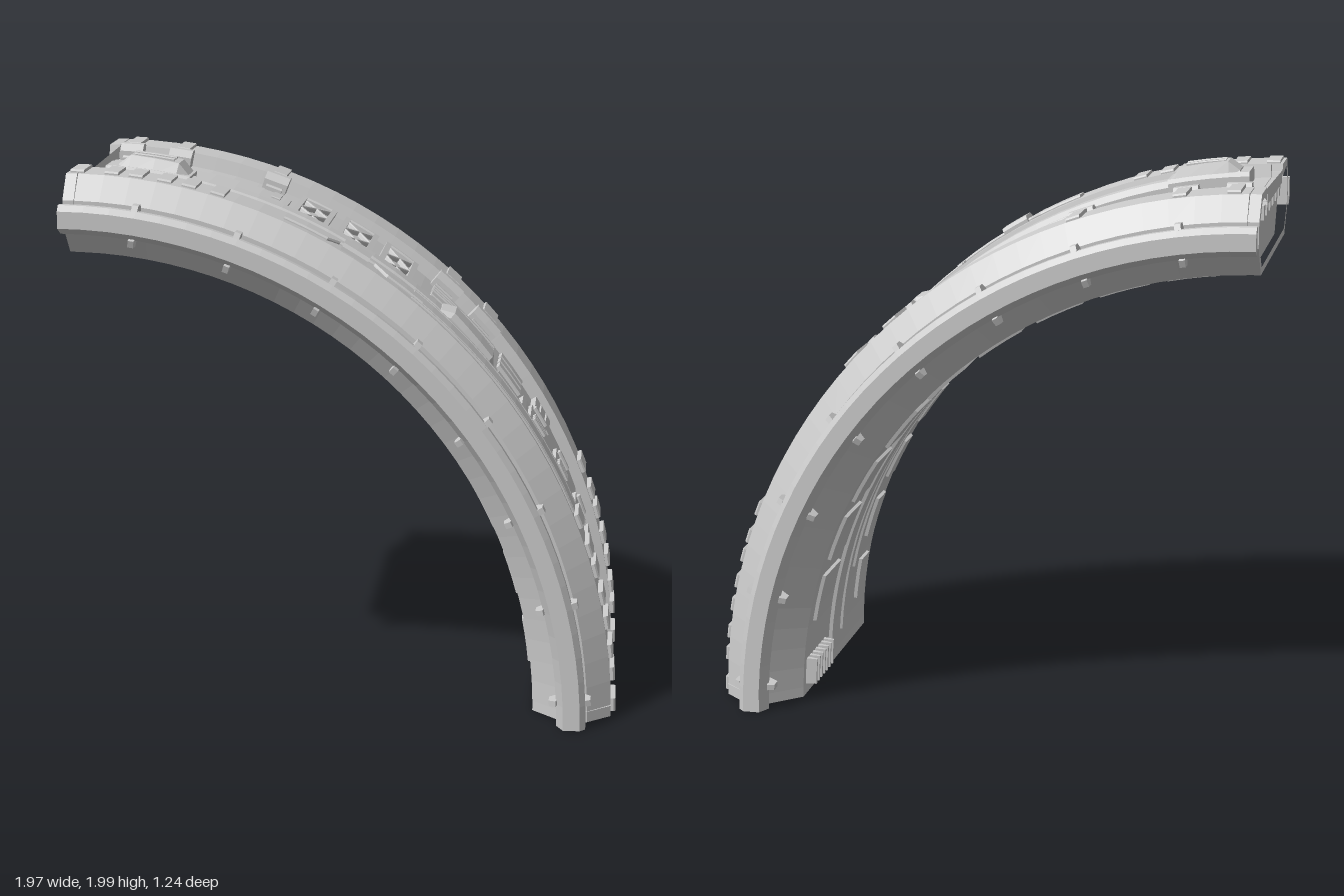
import * as THREE from 'three';

const CX = -0.985, H = Math.PI / 2, STEP = H / 32;
const mat = new THREE.MeshStandardMaterial({ color: 0xcccccc, flatShading: true });

// angle on the arch (0 at the foot, H at the top end) for a given height or x position
const aY = y => Math.asin(y / 1.93);
const aX = x => Math.acos(Math.min(1, Math.max(0, (x - CX) / 1.93)));

// loft of [angle, profile] stations; each profile is a list of [radius, z]
function loft(stations) {
  const rings = [];
  stations.forEach(([a, p], i) => {
    if (i) {
      const [b, q] = stations[i - 1], n = Math.max(1, Math.ceil((a - b) / STEP - 1e-6));
      for (let k = 1; k <= n; k++) {
        const t = k / n;
        rings.push([b + (a - b) * t, p.map((c, j) => [0, 1].map(m => q[j][m] + (c[m] - q[j][m]) * t))]);
      }
    } else rings.push([a, p]);
  });
  const contour = p => p.map(c => new THREE.Vector2(c[0], c[1]));
  if (THREE.ShapeUtils.isClockWise(contour(rings[0][1]))) rings.forEach(r => { r[1] = [...r[1]].reverse(); });
  const n = rings[0][1].length, pos = [], idx = [];
  for (const [a, p] of rings) for (const [r, z] of p) pos.push(r * Math.cos(a), r * Math.sin(a), z);
  for (let k = 0; k + 1 < rings.length; k++) for (let i = 0; i < n; i++) {
    const j = (i + 1) % n, o = k * n, u = o + n;
    idx.push(o + i, u + i, u + j, o + i, u + j, o + j);
  }
  const last = (rings.length - 1) * n;
  for (const [a, b, c] of THREE.ShapeUtils.triangulateShape(contour(rings[0][1]), [])) {
    idx.push(a, b, c, last + a, last + c, last + b);
  }
  const g = new THREE.BufferGeometry();
  g.setAttribute('position', new THREE.Float32BufferAttribute(pos, 3));
  g.setIndex(idx);
  const flat = g.toNonIndexed();
  flat.computeVertexNormals();
  return flat;
}

export function createModel() {
  const root = new THREE.Group();
  root.name = 'archSegment';
  const arch = new THREE.Group();
  arch.name = 'arch';
  arch.position.x = CX;
  root.add(arch);

  const add = (name, geo) => {
    const m = new THREE.Mesh(geo, mat);
    m.name = name;
    arch.add(m);
    return m;
  };
  const sweep = (name, profile, a0 = 0, a1 = H) => add(name, loft([[a0, profile], [a1, profile]]));
  // plate with chamfered sides from [angle, z0, z1] stations
  const strip = (name, r0, r1, stations, c = 0.006) => add(name, loft([...stations]
    .sort((s, t) => s[0] - t[0])
    .map(([a, z0, z1]) => [a, [[r0, z0], [r1 - c, z0], [r1, z0 + c], [r1, z1 - c], [r1 - c, z1], [r0, z1]]])));
  const plateY = (name, r0, r1, y0, y1, z0, z1, c) => strip(name, r0, r1, [[aY(y0), z0, z1], [aY(y1), z0, z1]], c);
  const plateX = (name, r0, r1, x0, x1, z0, z1, c) => strip(name, r0, r1, [[aX(x0), z0, z1], [aX(x1), z0, z1]], c);

  // main body with raised rims and bevelled sides, plus recessed ends
  const half = [[1.67, 0.43], [1.78, 0.53], [1.87, 0.53], [1.955, 0.46], [1.955, 0.29], [1.905, 0.28]];
  const body = [...half, ...half.map(([r, z]) => [r, -z]).reverse()];
  const depth = 0.04, da = depth / 1.81;
  sweep('body', body, da, H - da);
  const collar = new THREE.Shape(body.map(([r, z]) => new THREE.Vector2(r, z)));
  collar.holes.push(new THREE.Path(body.map(([r, z]) => new THREE.Vector2(1.81 + (r - 1.81) * 0.82, z * 0.95))));
  for (const end of [0, 1]) {
    const rim = add(end ? 'topEndRim' : 'footEndRim', new THREE.ExtrudeGeometry(collar, { depth, bevelEnabled: false }));
    const X = new THREE.Vector3(1, 0, 0), Y = new THREE.Vector3(0, 1, 0), Z = new THREE.Vector3(0, 0, 1);
    const basis = end ? new THREE.Matrix4().makeBasis(Y, Z, X) : new THREE.Matrix4().makeBasis(X, Z, Y.negate());
    rim.geometry.applyMatrix4(basis);
    if (!end) rim.position.y = depth;
  }
  for (let i = 0; i < 6; i++) sweep('endTooth', [[1.84, -0.3 + i * 0.11], [1.89, -0.3 + i * 0.11], [1.89, -0.26 + i * 0.11], [1.84, -0.26 + i * 0.11]], H - da, H - 0.004);

  // side rails and their hooked brackets
  for (const s of [1, -1]) {
    const side = p => p.map(([r, z]) => [r, s * z]);
    sweep('rail', side([[1.76, 0.575], [1.785, 0.62], [1.845, 0.62], [1.865, 0.6], [1.865, 0.575]]));
    for (let i = 0; i < 8; i++) {
      const a = THREE.MathUtils.degToRad(3 + 11.25 * i);
      sweep('railBracket', side([[1.77, 0.525], [1.735, 0.55], [1.735, 0.59], [1.76, 0.6], [1.765, 0.575], [1.785, 0.55],
        [1.845, 0.55], [1.86, 0.575], [1.865, 0.6], [1.885, 0.59], [1.885, 0.55], [1.86, 0.525]]), a - 0.006, a + 0.006);
    }
    // rim plates near the foot
    for (const y of [0.037, 0.154, 0.239, 0.345, 0.435, 0.536, 0.61, 0.716])
      plateY('rimPlate', 1.95, 1.972, y - 0.024, y + 0.024, ...(s > 0 ? [0.3, 0.445] : [-0.445, -0.3]));
  }

  // front rim: top plates, notched strip with block, long slim rails
  for (const x of [-0.95, -0.83, -0.745, -0.645, -0.56, -0.46]) plateX('rimTopPlate', 1.95, 1.966, x - 0.024, x + 0.024, 0.3, 0.44);
  strip('notchedStrip', 1.95, 1.965, [[aX(-0.23), 0.33, 0.42], [aX(-0.08), 0.33, 0.42], [aX(-0.04), 0.35, 0.38],
    [aX(0.08), 0.35, 0.38], [aX(0.13), 0.36, 0.42], [aX(0.25), 0.37, 0.42]]);
  plateX('stripBlock', 1.95, 1.98, -0.03, 0.06, 0.335, 0.44, 0.012);
  for (const [z0, z1] of [[0.3, 0.318], [0.326, 0.42], [0.428, 0.445]]) plateY('rimRail', 1.95, 1.962, 0.75, 1.51, z0, z1, 0.004);

  // back rim clips
  for (const x of [-0.89, -0.705, -0.34, 0.31, 0.45]) {
    plateX('clipTab', 1.94, 1.967, x - 0.023, x + 0.023, -0.45, -0.29);
    plateX('clipBlock', 1.89, 1.967, x - 0.043, x + 0.043, -0.31, -0.225, 0.025);
    plateX('clipFoot', 1.89, 1.925, x - 0.03, x + 0.03, -0.24, -0.21);
  }

  // foot: cross bars, small plates, tapered panels
  for (const y of [0.04, 0.1, 0.153]) plateY('crossBar', 1.9, 1.93, y - 0.014, y + 0.014, -0.285, 0.285);
  for (const z of [0.07, 0.15, 0.228]) plateY('smallPlate', 1.9, 1.922, 0.215, 0.35, z - 0.032, z + 0.032);
  strip('taperedPanel', 1.9, 1.922, [[aY(0.395), -0.285, -0.13], [aY(0.44), -0.285, -0.06], [aY(0.455), -0.285, -0.07], [aY(0.505), -0.285, -0.14]]);
  strip('taperedPanel', 1.9, 1.922, [[aY(0.25), -0.285, -0.21], [aY(0.31), -0.285, -0.06], [aY(0.36), -0.285, -0.06]]);

  // vent panel with three louvred boxes and its stepped side plate
  strip('ventPanel', 1.9, 1.925, [[aY(0.57), -0.05, 0.23], [aY(0.58), -0.06, 0.24], [aY(1.05), -0.06, 0.24], [aY(1.07), -0.05, 0.23]]);
  strip('steppedPlate', 1.9, 1.915, [[aY(0.575), -0.08, -0.05], [aY(0.615), -0.14, -0.05], [aY(0.65), -0.21, -0.05],
    [aY(0.655), -0.285, -0.05], [aY(0.9), -0.285, -0.05]]);
  for (const y of [0.66, 0.828, 0.993]) {
    plateY('ventBox', 1.92, 1.94, y - 0.044, y + 0.044, -0.016, 0.2);
    for (const z of [0.115, 0.143, 0.171]) plateY('louvre', 1.935, 1.952, y - 0.032, y + 0.032, z - 0.01, z + 0.01, 0.003);
    plateY('ventLatch', 1.935, 1.952, y - 0.034, y + 0.034, -0.012, 0.022);
  }
  for (const y of [0.925, 0.96, 0.995]) plateY('sideRib', 1.9, 1.928, y - 0.013, y + 0.013, -0.285, -0.065);

  // row of plates and lengthwise bars
  for (const z of [0.228, 0.15, 0.07, -0.063, -0.143, -0.222]) plateY('rowPlate', 1.9, 1.92, 1.08, 1.19, z - 0.032, z + 0.032);
  for (const [z, w] of [[0.027, 0.026], [-0.048, 0.026], [-0.109, 0.009], [-0.146, 0.009], [-0.187, 0.011]])
    plateY('lengthBar', 1.9, 1.922, 1.225, 1.46, z - w, z + w, 0.004);

  // cross-braced frames
  for (const [x0, x1] of [[-0.235, -0.105], [-0.07, 0.055], [0.085, 0.205]]) {
    const w = 0.018;
    plateX('frameEdge', 1.9, 1.93, x0, x0 + w, -0.255, 0.075);
    plateX('frameEdge', 1.9, 1.93, x1 - w, x1, -0.255, 0.075);
    plateX('frameEdge', 1.9, 1.93, x0, x1, -0.255, -0.23);
    plateX('frameEdge', 1.9, 1.93, x0, x1, 0.05, 0.075);
    for (const z of [-0.24, -0.09]) for (const [p, q] of [[z, z + 0.13], [z + 0.13, z]])
      strip('frameBrace', 1.9, 1.922, [[aX(x0 + w), p, p + 0.022], [aX(x1 - w), q, q + 0.022]], 0.004);
  }

  // top cover plate
  strip('topPlate', 1.9, 1.915, [[aX(-0.967), -0.13, -0.03], [aX(-0.92), -0.165, 0.01], [aX(-0.28), -0.165, 0.01], [aX(-0.26), -0.145, -0.01]]);
  for (const x of [-0.77, -0.735, -0.31]) plateX('topPlateSlot', 1.91, 1.922, x - 0.016, x + 0.016, -0.145, -0.05, 0.003);

  // conduit with a housing at each end
  plateX('conduit', 1.9, 1.945, -0.62, 0.36, 0.11, 0.22, 0.022);
  plateX('housingBase', 1.9, 1.955, -0.885, -0.59, 0.07, 0.245, 0.015);
  const block = r => [[1.94, 0.08], [r, 0.095], [r, 0.2], [1.94, 0.235]];
  add('housingTop', loft([[aX(-0.6), block(1.955)], [aX(-0.64), block(1.99)], [aX(-0.81), block(1.995)], [aX(-0.85), block(1.96)]]));
  for (const z of [0.115, 0.165]) plateX('housingRidge', 1.98, 2.0, -0.8, -0.66, z, z + 0.02, 0.003);
  const cap = (r, w) => [[1.9, 0.165 - w], [r - 0.02, 0.165 - w], [r, 0.185 - w], [r, 0.145 + w], [r - 0.02, 0.165 + w], [1.9, 0.165 + w]];
  add('conduitCap', loft([[aY(1.22), cap(1.93, 0.055)], [aY(1.25), cap(1.965, 0.075)], [aY(1.4), cap(1.975, 0.078)], [aY(1.43), cap(1.95, 0.078)]]));

  // underside: long bands, ladder plates, comb at the foot
  const under = (name, r, a0, a1, z0, z1) => sweep(name, [[1.675, z0], [r, z0 + 0.006], [r, z1 - 0.006], [1.675, z1]], a0, a1);
  under('innerBand', 1.657, 0.06, 1.5, -0.1, 0.02);
  under('innerBand', 1.66, 0.06, 1.5, 0.06, 0.11);
  under('innerBand', 1.66, 0.2, 1.4, 0.15, 0.19);
  for (let i = 0; i < 9; i++) {
    under('ladderPlate', 1.657, 0.17 + i * 0.15, 0.28 + i * 0.15, -0.37, -0.15);
    under('innerPlate', 1.657, 0.1 + i * 0.16, 0.2 + i * 0.16, 0.25, 0.37);
  }
  for (let i = 0; i < 7; i++) under('combRib', 1.63, 0.025, 0.085, -0.4 + i * 0.037, -0.378 + i * 0.037);
  return root;
}
